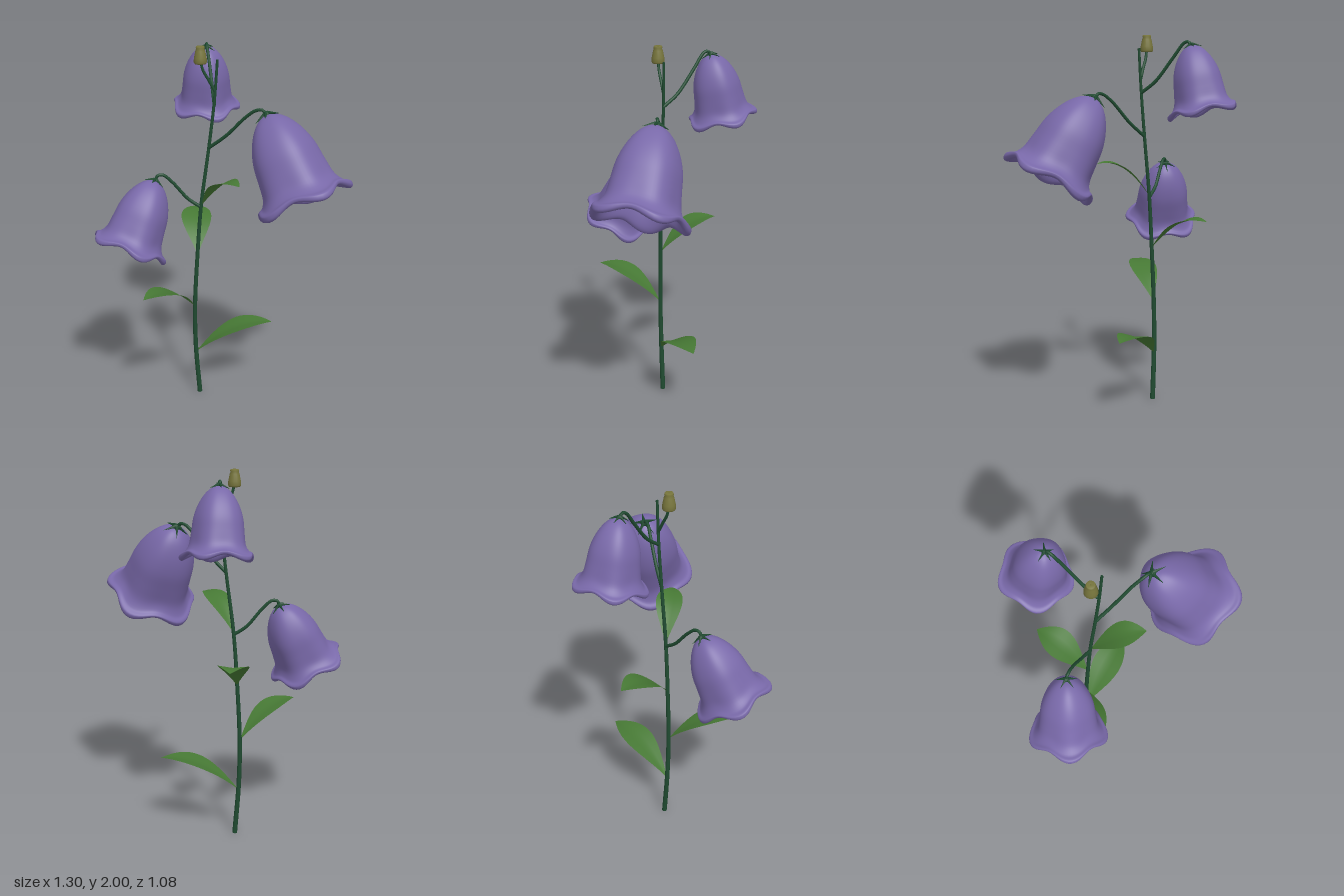
import * as THREE from 'three';
import { mergeVertices } from 'three/addons/utils/BufferGeometryUtils.js';

const V = (x, y, z) => new THREE.Vector3(x, y, z);
const mat = (color) => new THREE.MeshStandardMaterial({ color, side: THREE.DoubleSide });
const stemMat = mat(0x1f4a30);
const leafMat = mat(0x467834);
const petalMat = mat(0x7868a8);
const budMat = mat(0x77753c);
const stamenMat = mat(0xa08c48);

function mesh(name, geometry, material) {
  const m = new THREE.Mesh(geometry, material);
  m.name = name;
  return m;
}

// Tapered tube through a few points
function taperedTube(name, points, r0, r1, n = 32, sides = 10) {
  const curve = new THREE.CatmullRomCurve3(points.map((p) => V(...p)));
  const geo = new THREE.TubeGeometry(curve, n, r0, sides);
  const pos = geo.attributes.position;
  const v = V(0, 0, 0);
  for (let i = 0; i < pos.count; i++) {
    const u = Math.floor(i / (sides + 1)) / n;
    const c = curve.getPointAt(u);
    v.fromBufferAttribute(pos, i).sub(c).multiplyScalar(1 + (r1 / r0 - 1) * u).add(c);
    pos.setXYZ(i, v.x, v.y, v.z);
  }
  return mesh(name, geo, stemMat);
}

// Five-lobed bell of unit length hanging from the origin; profile is [radius, depth]
function bellGeometry() {
  const inner = [[0.005, 0.06], [0.17, 0.15], [0.26, 0.28], [0.32, 0.45], [0.35, 0.65], [0.375, 0.83], [0.42, 0.96], [0.47, 1.01]];
  const outer = [[0.51, 1.0], [0.52, 0.965], [0.505, 0.945], [0.455, 0.915], [0.4, 0.82], [0.375, 0.65], [0.35, 0.45], [0.29, 0.27], [0.2, 0.12], [0.1, 0.03], [0.005, 0]];
  const profile = new THREE.SplineCurve([...inner, ...outer].map(([r, d]) => new THREE.Vector2(r, -d)));
  let geo = new THREE.LatheGeometry(profile.getPoints(72), 70);
  const pos = geo.attributes.position;
  for (let i = 0; i < pos.count; i++) {
    const x = pos.getX(i), y = pos.getY(i), z = pos.getZ(i);
    const wave = Math.cos(5 * Math.atan2(z, x));
    const k = 1 + wave * (0.02 + 0.05 * y ** 4);
    pos.setXYZ(i, x * k, y - 0.04 * wave * y ** 6, z * k);
  }
  geo.deleteAttribute('uv');
  geo.deleteAttribute('normal');
  geo = mergeVertices(geo, 1e-5);
  geo.computeVertexNormals();
  return geo;
}
const bellGeo = bellGeometry();

// Bell with sepals on its crown and stamens inside
function flower(name, top, mouth) {
  const g = new THREE.Group();
  g.name = name;
  const axis = V(...mouth).sub(V(...top));
  g.position.set(...top);
  g.scale.setScalar(axis.length());
  g.quaternion.setFromUnitVectors(V(0, -1, 0), axis.normalize());
  g.add(mesh('bell', bellGeo, petalMat));

  const crown = mesh('crown', new THREE.SphereGeometry(0.04, 12, 8), stemMat);
  g.add(crown);
  for (let i = 0; i < 5; i++) {
    const a = (i + 0.5) * Math.PI * 0.4;
    const arm = new THREE.Group();
    arm.rotation.y = a;
    const sepal = mesh('sepal', new THREE.ConeGeometry(0.025, 0.15, 6), stemMat);
    sepal.position.set(0.085, -0.015, 0);
    sepal.rotation.z = -Math.PI / 2 - 0.4;
    sepal.scale.z = 0.8;
    arm.add(sepal);

    const path = new THREE.QuadraticBezierCurve3(V(0.01, -0.05, 0), V(0.03, -0.5, 0), V(0.085, -0.78, 0));
    arm.add(mesh('filament', new THREE.TubeGeometry(path, 10, 0.009, 6), stamenMat));
    const anther = mesh('anther', new THREE.SphereGeometry(0.022, 8, 6), stamenMat);
    anther.position.set(0.088, -0.8, 0);
    anther.scale.y = 1.8;
    arm.add(anther);
    g.add(arm);
  }
  return g;
}

// Arching pointed blade from base, over a horizontal span (dx, dz)
function leaf(base, dx, dz, rise, width) {
  const rows = 20, cols = 6, length = Math.hypot(dx, dz);
  const geo = new THREE.PlaneGeometry(1, 1, cols, rows);
  const pos = geo.attributes.position;
  for (let i = 0; i < pos.count; i++) {
    const s = pos.getX(i) * 2;
    const u = 0.5 - pos.getY(i);
    const half = (width / 2) * Math.max(0, Math.sin(Math.PI * u ** 1.15)) ** 0.95;
    const side = (s * half) / length;
    const y = rise * (2.35 * u - 1.4 * u * u) + 0.12 * half * Math.abs(s);
    pos.setXYZ(i, base[0] + dx * u - dz * side, base[1] + y, base[2] + dz * u + dx * side);
  }
  // Turn the faces so that the upper side is the front
  const idx = geo.index.array;
  for (let i = 0; i < idx.length; i += 3) [idx[i], idx[i + 1]] = [idx[i + 1], idx[i]];
  geo.computeVertexNormals();
  if (geo.attributes.normal.getY(pos.count >> 1) < 0) {
    for (let i = 0; i < idx.length; i += 3) [idx[i], idx[i + 1]] = [idx[i + 1], idx[i]];
    geo.computeVertexNormals();
  }
  return mesh('leaf', geo, leafMat);
}

export function createModel() {
  const model = new THREE.Group();
  model.name = 'bellflower';

  // Main stem
  model.add(taperedTube('stem', [
    [-0.083, 0, -0.043], [-0.104, 0.3, -0.042], [-0.107, 0.55, -0.038], [-0.092, 0.85, -0.032],
    [-0.07, 1.15, -0.026], [-0.03, 1.46, -0.017], [0, 1.72, -0.01], [0.015, 1.93, -0.005],
  ], 0.014, 0.007, 48));

  // Flower stalks
  model.add(taperedTube('frontStalk', [
    [-0.03, 1.47, -0.017], [0.06, 1.55, 0.03], [0.15, 1.655, 0.08], [0.2, 1.697, 0.11], [0.232, 1.7, 0.123], [0.25, 1.67, 0.132],
  ], 0.009, 0.008));
  model.add(taperedTube('rightStalk', [
    [-0.07, 1.14, -0.026], [-0.14, 1.19, -0.03], [-0.22, 1.285, -0.025], [-0.27, 1.328, -0.02], [-0.298, 1.325, -0.017], [-0.31, 1.29, -0.015],
  ], 0.009, 0.008));
  model.add(taperedTube('backStalk', [
    [0, 1.7, -0.01], [-0.003, 1.76, -0.09], [-0.012, 1.88, -0.185], [-0.02, 1.955, -0.243], [-0.02, 1.962, -0.267], [-0.02, 1.935, -0.285],
  ], 0.009, 0.008));
  model.add(taperedTube('budStalk', [
    [0.003, 1.77, -0.009], [-0.03, 1.83, -0.009], [-0.058, 1.88, -0.01], [-0.069, 1.925, -0.01],
  ], 0.008, 0.007, 12));

  // Flowers
  model.add(flower('frontFlower', [0.25, 1.68, 0.132], [0.42, 1.275, 0.305]));
  model.add(flower('rightFlower', [-0.31, 1.3, -0.015], [-0.46, 0.96, 0.075]));
  model.add(flower('backFlower', [-0.02, 1.945, -0.283], [-0.02, 1.61, -0.355]));

  // Closed bud at the top
  const budProfile = [[0.003, 0], [0.028, 0], [0.034, 0.008], [0.032, 0.03], [0.025, 0.065], [0.021, 0.074], [0.023, 0.08], [0.02, 0.088], [0.003, 0.086]];
  const bud = mesh('bud', new THREE.LatheGeometry(budProfile.map(([r, y]) => new THREE.Vector2(r, y)), 16), budMat);
  bud.position.set(-0.07, 1.911, -0.01);
  model.add(bud);

  // Leaves spiralling up the stem
  model.add(leaf([-0.103, 0.26, -0.042], 0.43, 0, 0.18, 0.17));
  model.add(leaf([-0.107, 0.55, -0.038], -0.285, 0.255, 0.18, 0.15));
  model.add(leaf([-0.09, 0.86, -0.032], 0.01, -0.325, 0.175, 0.165));
  model.add(leaf([-0.068, 1.15, -0.026], 0.178, 0.226, 0.185, 0.14));
  return model;
}
